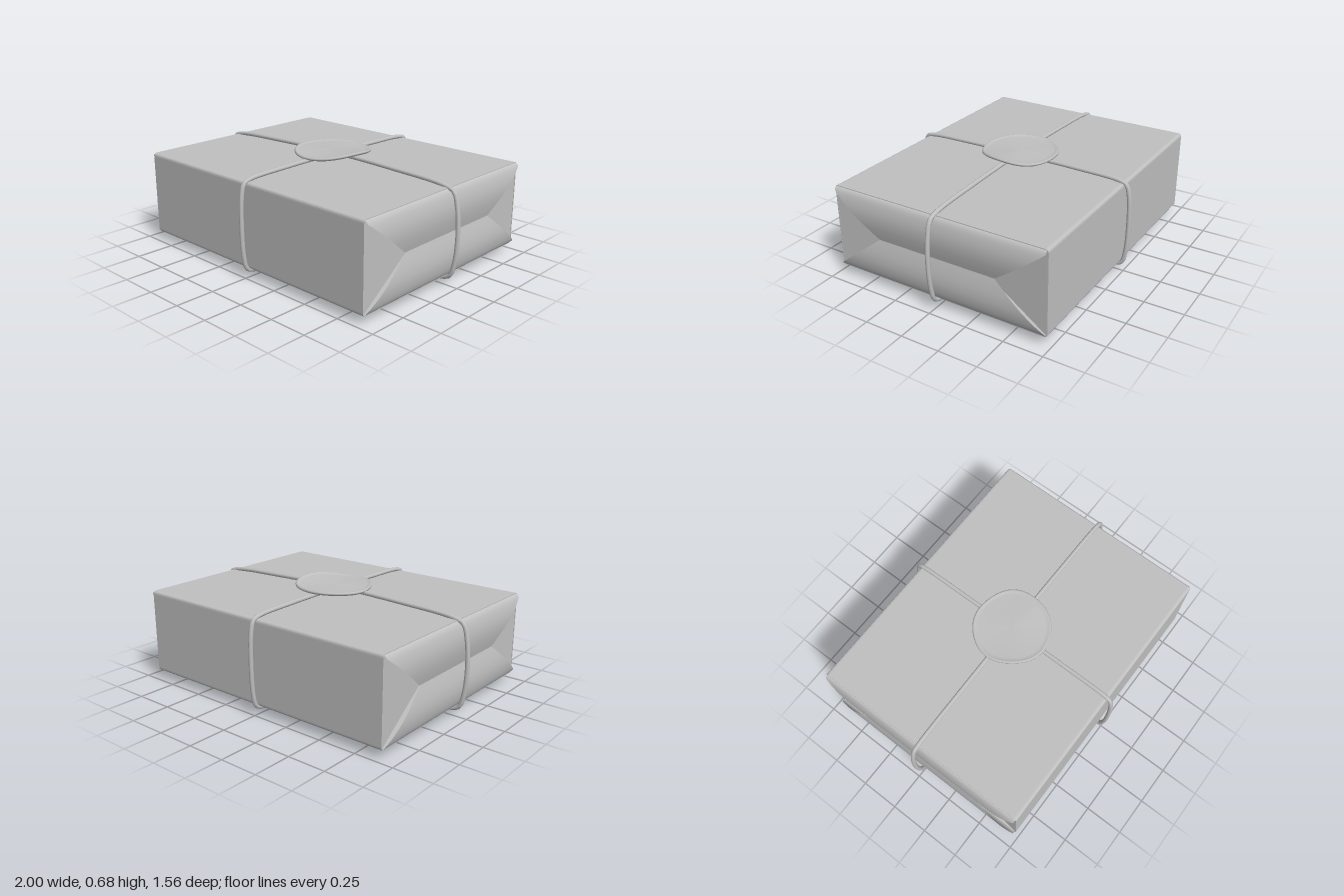
import * as THREE from 'three';

const paperGrey = new THREE.MeshStandardMaterial({ color: 0xc0c0c0, side: THREE.DoubleSide });
paperGrey.name = 'paper grey';

const X = 0.91, Z = 0.725, Y0 = 0.055, Y1 = 0.6, YM = 0.328;

function add(parent, geometry, name) {
  const mesh = new THREE.Mesh(geometry, paperGrey);
  mesh.name = name;
  parent.add(mesh);
  return mesh;
}

// Rounded rectangle in the z/y plane
function roundedRect(path, w, y0, y1, r) {
  path.moveTo(-w + r, y0);
  path.lineTo(w - r, y0);
  path.quadraticCurveTo(w, y0, w, y0 + r);
  path.lineTo(w, y1 - r);
  path.quadraticCurveTo(w, y1, w - r, y1);
  path.lineTo(-w + r, y1);
  path.quadraticCurveTo(-w, y1, -w, y1 - r);
  path.lineTo(-w, y0 + r);
  path.quadraticCurveTo(-w, y0, -w + r, y0);
  return path;
}

// Paper wrapped around four sides, open at the two ends
function wrapGeometry() {
  const shape = roundedRect(new THREE.Shape(), Z, Y0, Y1, 0.022);
  shape.holes.push(roundedRect(new THREE.Path(), Z - 0.006, Y0 + 0.006, Y1 - 0.006, 0.018));
  const g = new THREE.ExtrudeGeometry(shape, { depth: 2 * X, bevelEnabled: false, curveSegments: 5 });
  return g.translate(0, 0, -X).rotateY(Math.PI / 2);
}

// Puffed trapezoid flap; sign = 1 for the upper one, -1 for the lower one
function flapGeometry(sign) {
  const rise = new THREE.CatmullRomCurve3([[0.922, 0], [0.934, 0.05], [0.944, 0.11], [0.945, 0.17],
    [0.934, 0.23], [0.921, 0.258], [X - 0.004, 0.27]].map(([x, d]) => new THREE.Vector3(x, d, 0)));
  const g = new THREE.PlaneGeometry(1, 1, 8, 20);
  const p = g.attributes.position;
  for (let i = 0; i < p.count; i++) {
    const point = rise.getPoint(0.5 + sign * p.getY(i));
    const half = Math.min(Z - 0.008, 0.4 + 0.32 * point.y / 0.25);
    p.setXYZ(i, point.x, YM + sign * point.y, -2 * p.getX(i) * half);
  }
  g.computeVertexNormals();
  return g;
}

// Tucked side triangle, leaning inwards below the flaps
function tuckGeometry(side) {
  const corners = [[X - 0.002, Y1 - 0.008, side * (Z - 0.002)], [0.88, YM, side * 0.3],
    [X - 0.002, Y0 + 0.008, side * (Z - 0.002)]];
  if (side < 0) corners.reverse();
  const g = new THREE.BufferGeometry();
  g.setAttribute('position', new THREE.Float32BufferAttribute(corners.reverse().flat(), 3));
  g.computeVertexNormals();
  return g;
}

// Closed string loop from a half outline, mirrored left to right
function stringGeometry(half) {
  const right = half.map(([u, y]) => new THREE.Vector3(u, y, 0));
  const left = half.slice(1, -1).reverse().map(([u, y]) => new THREE.Vector3(-u, y, 0));
  const curve = new THREE.CatmullRomCurve3([...right, ...left], true, 'centripetal');
  return new THREE.TubeGeometry(curve, 160, 0.014, 10, true);
}

// Uneven wax disc with a raised rim and a shallow pressed middle
function sealGeometry() {
  const profile = [[0, 0], [0.12, 0], [0.21, 0.001], [0.235, 0.004], [0.246, 0.011], [0.247, 0.019],
    [0.242, 0.025], [0.235, 0.026], [0.228, 0.022], [0.21, 0.019], [0.12, 0.019], [0, 0.019]];
  const g = new THREE.LatheGeometry(profile.map(([r, y]) => new THREE.Vector2(r, y)), 64);
  const p = g.attributes.position;
  for (let i = 0; i < p.count; i++) {
    const x = p.getX(i), z = p.getZ(i);
    const a = Math.atan2(z, x), t = Math.hypot(x, z) / 0.247;
    const s = 1 - t * t * (0.018 + 0.018 * Math.sin(3 * a + 0.4) + 0.012 * Math.cos(5 * a));
    const wave = t * t * (0.005 * Math.sin(3 * a + 1) + 0.006 * Math.cos(2 * a));
    p.setXYZ(i, x * s, p.getY(i) + 0.637 + wave + 0.022 * x, z * s);
  }
  g.computeVertexNormals();
  return g;
}

export function createModel() {
  const model = new THREE.Group();
  model.name = 'wrappedParcel';
  add(model, wrapGeometry(), 'paperWrap');

  // Folded ends
  for (const [name, turn] of [['leftEnd', 0], ['rightEnd', Math.PI]]) {
    const end = new THREE.Group();
    end.name = name;
    add(end, flapGeometry(1), 'upperFlap');
    add(end, flapGeometry(-1), 'lowerFlap').geometry.index.array.reverse();
    end.children[1].geometry.computeVertexNormals();
    add(end, tuckGeometry(1), 'frontTuck');
    add(end, tuckGeometry(-1), 'backTuck');
    end.rotation.y = turn;
    model.add(end);
  }

  // Crossed strings
  add(model, stringGeometry([[0, 0.638], [0.5, 0.628], [0.88, 0.606], [0.945, 0.582], [0.972, 0.5],
    [0.986, 0.33], [0.972, 0.15], [0.945, 0.07], [0.88, 0.044], [0.5, 0.026], [0, 0.015]]), 'lengthwiseString');
  add(model, stringGeometry([[0, 0.624], [0.4, 0.622], [0.69, 0.61], [0.735, 0.592], [0.755, 0.53],
    [0.765, 0.33], [0.755, 0.13], [0.735, 0.062], [0.69, 0.042], [0.4, 0.032], [0, 0.03]]), 'crosswiseString')
    .rotation.y = Math.PI / 2;

  // Wax seal over the crossing
  add(model, sealGeometry(), 'waxSeal');
  return model;
}
